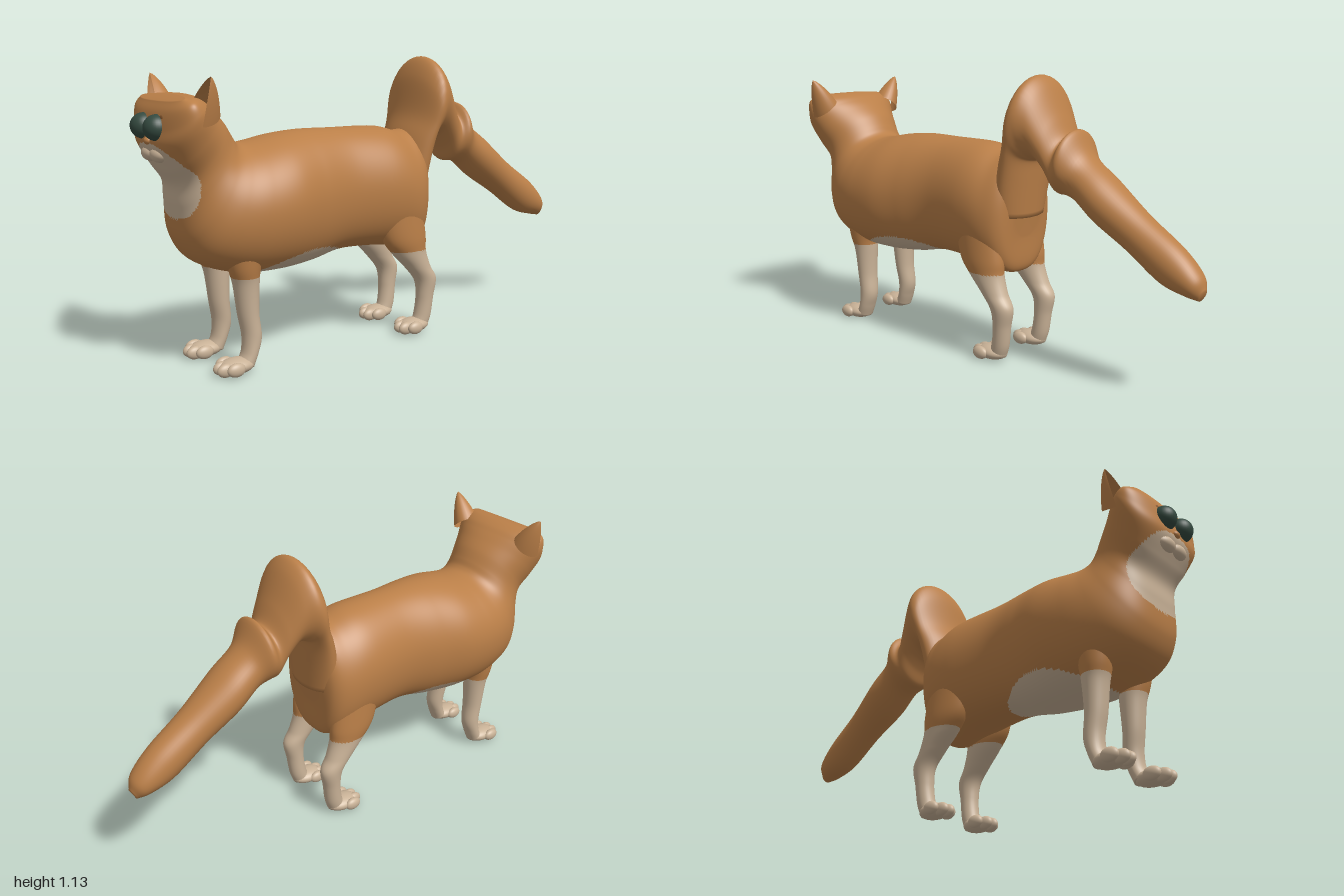
import * as THREE from 'three';

const mat = (name, color) => Object.assign(new THREE.MeshStandardMaterial({ color }), { name });

// Closed skin through sections [zA, yA, zB, yB, halfWidth, centreX]; A and B are opposite rims.
// isPale(x, y, z) picks the second material for a face.
function loft(name, sections, steps, sides, materials, isPale, lowPower = 1) {
  const a = new THREE.CatmullRomCurve3(sections.map(s => new THREE.Vector3(s[0], s[1], s[4])), false, 'catmullrom');
  const b = new THREE.CatmullRomCurve3(sections.map(s => new THREE.Vector3(s[2], s[3], s[5] || 0)), false, 'catmullrom');
  const pos = [], tris = [];
  for (let i = 0; i <= steps; i++) {
    const p = a.getPoint(i / steps), q = b.getPoint(i / steps);
    for (let j = 0; j < sides; j++) {
      const t = j / sides * Math.PI * 2, c = Math.cos(t), s = Math.sin(t);
      const x = q.z + p.z * Math.sign(c) * Math.pow(Math.abs(c), s < 0 ? lowPower : 1);
      pos.push(x, (p.y + q.y) / 2 + (p.y - q.y) / 2 * s, (p.x + q.x) / 2 + (p.x - q.x) / 2 * s);
    }
  }
  for (let i = 0; i < steps; i++) for (let j = 0; j < sides; j++) {
    const k = (j + 1) % sides, r = i * sides, n = r + sides;
    tris.push([r + j, r + k, n + j], [r + k, n + k, n + j]);
  }
  [0, steps].forEach(row => {
    const s = row ? sections[sections.length - 1] : sections[0], centre = pos.length / 3;
    pos.push(s[5] || 0, (s[1] + s[3]) / 2, (s[0] + s[2]) / 2);
    for (let j = 0; j < sides; j++) {
      const m = row * sides + j, n = row * sides + (j + 1) % sides;
      tris.push(row ? [centre, m, n] : [centre, n, m]);
    }
  });
  // turn the skin outwards
  const v = i => new THREE.Vector3(pos[i * 3], pos[i * 3 + 1], pos[i * 3 + 2]);
  let volume = 0;
  for (const [i, j, k] of tris) volume += v(i).dot(v(j).cross(v(k)));
  if (volume < 0) tris.forEach(t => t.reverse());
  const sets = [[], []];
  for (const t of tris) {
    const m = v(t[0]).add(v(t[1])).add(v(t[2])).divideScalar(3);
    sets[isPale && isPale(m.x, m.y, m.z) ? 1 : 0].push(...t);
  }
  const g = new THREE.BufferGeometry();
  g.setAttribute('position', new THREE.Float32BufferAttribute(pos, 3));
  g.setIndex([...sets[0], ...sets[1]]);
  g.addGroup(0, sets[0].length, 0);
  g.addGroup(sets[0].length, sets[1].length, 1);
  g.computeVertexNormals();
  const mesh = new THREE.Mesh(g, materials);
  mesh.name = name;
  return mesh;
}

function ellipsoid(name, material, x, y, z, rx, ry, rz) {
  const m = new THREE.Mesh(new THREE.SphereGeometry(1, 32, 20), material);
  m.name = name;
  m.position.set(x, y, z);
  m.scale.set(rx, ry, rz);
  return m;
}

// Open cupped ear, hollow towards the front
function ear(side, material) {
  const pos = [], idx = [], rows = 14, cols = 18;
  for (let i = 0; i <= rows; i++) for (let j = 0; j <= cols; j++) {
    const t = i / rows, r = Math.pow(1 - t, 0.8) * (1 + 0.25 * t), a = Math.PI * (j / cols * 1.2 - 0.1);
    const across = Math.cos(a) * r, back = Math.sin(a) * r;
    pos.push(side * (0.178 + 0.064 * t + 0.046 * across),
      0.955 + 0.13 * t - 0.036 * across + 0.01 * back,
      0.845 - 0.005 * t - 0.065 * back);
  }
  for (let i = 0; i < rows; i++) for (let j = 0; j < cols; j++) {
    const a = i * (cols + 1) + j, b = a + cols + 1;
    if (side > 0) idx.push(a, a + 1, b, a + 1, b + 1, b);
    else idx.push(a, b, a + 1, a + 1, b, b + 1);
  }
  const g = new THREE.BufferGeometry();
  g.setAttribute('position', new THREE.Float32BufferAttribute(pos, 3));
  g.setIndex(idx);
  g.computeVertexNormals();
  const m = new THREE.Mesh(g, material);
  m.name = side > 0 ? 'leftEar' : 'rightEar';
  return m;
}

function paw(name, material, x, z) {
  const g = new THREE.Group();
  g.name = name;
  g.add(ellipsoid('pad', material, x, 0.034, z - 0.05, 0.05, 0.03, 0.07));
  [-0.046, -0.016, 0.016, 0.046].forEach((d, i) => {
    const outer = i === 0 || i === 3;
    g.add(ellipsoid('toe', material, x + d, outer ? 0.034 : 0.03, z - (outer ? 0.025 : 0), 0.019, 0.026, 0.036));
  });
  return g;
}

export function createModel() {
  const model = new THREE.Group();
  const ginger = mat('gingerFur', 0xba7f48), cream = mat('creamFur', 0xc9b297);
  const green = mat('darkGreenEye', 0x34493f), lid = mat('brownLid', 0x8a5a30);
  ginger.side = THREE.DoubleSide;
  const fur = [ginger, cream];

  // Rump, trunk, chest, neck and head in one skin
  const bib = (x, y, z) => z > 0.8 && Math.pow(Math.abs(x / 0.15), 2.6) + Math.pow(Math.abs((y - 0.717) / 0.137), 2.6) < 1;
  const belly = (x, y, z) => z > 0.14 && z < 0.64 && y < 0.36 + 0.075 * Math.sin(Math.PI * (z - 0.14) / 0.5);
  model.add(loft('bodyAndHead', [
    [-0.22, 0.72, -0.19, 0.5, 0.07],
    [-0.18, 0.83, -0.18, 0.37, 0.15],
    [-0.1, 0.84, -0.13, 0.35, 0.188],
    [0, 0.862, 0, 0.375, 0.2],
    [0.2, 0.866, 0.2, 0.385, 0.186],
    [0.35, 0.868, 0.35, 0.36, 0.212],
    [0.47, 0.858, 0.5, 0.35, 0.244],
    [0.57, 0.84, 0.66, 0.36, 0.244],
    [0.62, 0.836, 0.8, 0.41, 0.225],
    [0.65, 0.85, 0.865, 0.5, 0.2],
    [0.67, 0.88, 0.88, 0.62, 0.18],
    [0.7, 0.925, 0.885, 0.7, 0.18],
    [0.74, 0.965, 0.925, 0.765, 0.2],
    [0.77, 0.99, 0.963, 0.84, 0.22],
    [0.8, 1.01, 0.96, 0.9, 0.226],
    [0.84, 1.022, 0.95, 0.96, 0.215],
    [0.88, 1.02, 0.93, 1.0, 0.17]
  ], 190, 120, fur, (x, y, z) => bib(x, y, z) || belly(x, y, z), 0.75));

  // Thick tail that rises, folds over and trails behind
  model.add(loft('tail', [
    [-0.08, 0.6, -0.225, 0.58, 0.13],
    [-0.13, 0.8, -0.24, 0.72, 0.15],
    [-0.175, 0.91, -0.25, 0.8, 0.165],
    [-0.205, 1.06, -0.265, 0.81, 0.178],
    [-0.25, 1.135, -0.28, 0.81, 0.172],
    [-0.3, 1.105, -0.31, 0.8, 0.15],
    [-0.36, 0.99, -0.35, 0.75, 0.125],
    [-0.405, 0.91, -0.38, 0.695, 0.112],
    [-0.445, 0.94, -0.42, 0.69, 0.128],
    [-0.5, 0.85, -0.47, 0.67, 0.1],
    [-0.6, 0.775, -0.56, 0.6, 0.1],
    [-0.75, 0.66, -0.69, 0.52, 0.08],
    [-0.9, 0.56, -0.83, 0.425, 0.072],
    [-0.98, 0.48, -0.93, 0.395, 0.055],
    [-1, 0.425, -0.98, 0.385, 0.02]
  ], 110, 40, fur));

  const sock = (x, y) => y < 0.358;
  for (const s of [1, -1]) {
    const side = s > 0 ? 'left' : 'right';
    // Front leg
    model.add(loft(side + 'FrontLeg', [
      [0.75, 0.52, 0.56, 0.52, 0.07, s * 0.125],
      [0.725, 0.4, 0.6, 0.4, 0.06, s * 0.118],
      [0.705, 0.33, 0.607, 0.33, 0.052, s * 0.113],
      [0.69, 0.22, 0.61, 0.22, 0.045, s * 0.113],
      [0.677, 0.14, 0.603, 0.13, 0.041, s * 0.117],
      [0.68, 0.08, 0.62, 0.07, 0.04, s * 0.119],
      [0.7, 0.04, 0.64, 0.02, 0.038, s * 0.12]
    ], 60, 32, fur, sock));
    model.add(paw(side + 'FrontPaw', cream, s * 0.123, 0.758));
    // Hind leg with thigh and hock
    model.add(loft(side + 'HindLeg', [
      [0.06, 0.52, -0.16, 0.52, 0.06, s * 0.125],
      [0.03, 0.41, -0.175, 0.41, 0.062, s * 0.125],
      [-0.02, 0.345, -0.177, 0.35, 0.056, s * 0.125],
      [-0.08, 0.285, -0.2, 0.28, 0.048, s * 0.128],
      [-0.132, 0.22, -0.23, 0.225, 0.042, s * 0.13],
      [-0.143, 0.15, -0.218, 0.15, 0.037, s * 0.128],
      [-0.135, 0.08, -0.207, 0.07, 0.036, s * 0.125],
      [-0.12, 0.04, -0.19, 0.02, 0.034, s * 0.123]
    ], 70, 32, fur, sock));
    model.add(paw(side + 'HindPaw', cream, s * 0.123, -0.075));
    // Face
    model.add(ear(s, ginger));
    model.add(ellipsoid(side + 'Eye', green, s * 0.054, 0.91, 0.953, 0.047, 0.046, 0.047));
    const brow = ellipsoid(side + 'EyeLid', lid, s * 0.084, 0.943, 0.94, 0.032, 0.018, 0.012);
    brow.rotation.z = -s * 0.15;
    model.add(brow);
    model.add(ellipsoid(side + 'Cheek', cream, s * 0.035, 0.815, 0.938, 0.048, 0.028, 0.03));
  }
  model.add(ellipsoid('nose', ginger, 0, 0.862, 0.962, 0.02, 0.014, 0.015));
  return model;
}
